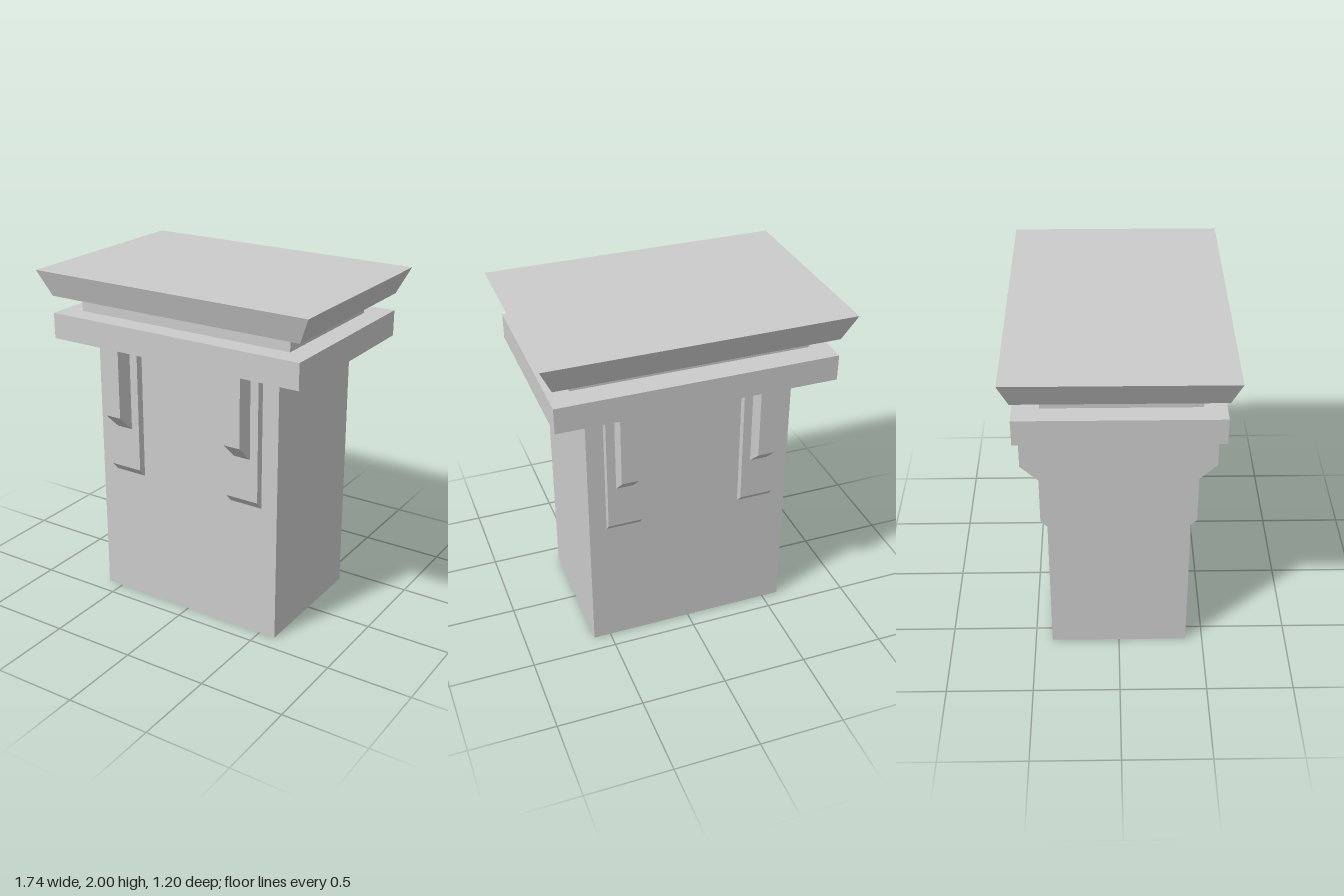
import * as THREE from 'three';

const material = new THREE.MeshStandardMaterial({ color: 0xcccccc, flatShading: true });

// Rectangular block between y0 and y1 whose half sizes change from bottom to top
function block(name, y0, y1, [bx, bz], [tx, tz] = [bx, bz]) {
  const geometry = new THREE.BoxGeometry(2, y1 - y0, 2);
  const p = geometry.attributes.position;
  for (let i = 0; i < p.count; i++) {
    const top = p.getY(i) > 0;
    p.setXYZ(i, p.getX(i) * (top ? tx : bx), top ? y1 : y0, p.getZ(i) * (top ? tz : bz));
  }
  geometry.computeVertexNormals();
  const mesh = new THREE.Mesh(geometry, material);
  mesh.name = name;
  return mesh;
}

// Side profile given as [z, y] points, extruded to a width along x
function profile(name, points, width) {
  const shape = new THREE.Shape(points.map(([z, y]) => new THREE.Vector2(z, y)));
  const geometry = new THREE.ExtrudeGeometry(shape, { depth: width, bevelEnabled: false });
  geometry.translate(0, 0, -width / 2).rotateY(-Math.PI / 2);
  const mesh = new THREE.Mesh(geometry, material);
  mesh.name = name;
  return mesh;
}

// Bracket: a wide back plate with a narrow rib, both with chamfered feet
function bracket(name, x) {
  const group = new THREE.Group();
  group.name = name;
  group.add(
    profile('bracketPlate', [[0.39, 0.8], [0.4, 0.8], [0.445, 0.85], [0.445, 1.57], [0.39, 1.57]], 0.2),
    profile('bracketRib', [[0.42, 1.1], [0.445, 1.1], [0.55, 1.2], [0.55, 1.6], [0.42, 1.6]], 0.1)
  );
  group.position.x = x;
  return group;
}

export function createModel() {
  const model = new THREE.Group();
  model.name = 'pillar';

  // Shaft and stacked capital
  const neck = block('neck', 1.75, 1.85, [0.682, 0.419]);
  neck.position.set(-0.005, 0, 0.011);
  model.add(
    block('shaft', 0, 1.55, [0.6, 0.4]),
    block('corniceUnderside', 1.55, 1.6, [0.6, 0.4], [0.8, 0.55]),
    block('cornice', 1.6, 1.75, [0.8, 0.55]),
    neck,
    block('capSlab', 1.85, 2, [0.8, 0.55], [0.87, 0.6])
  );

  // A pair of brackets on the front and on the back
  for (const side of ['front', 'back']) {
    const pair = new THREE.Group();
    pair.name = side + 'Brackets';
    pair.add(bracket('bracketA', -0.4), bracket('bracketB', 0.4));
    if (side === 'back') pair.rotation.y = Math.PI;
    model.add(pair);
  }
  return model;
}
